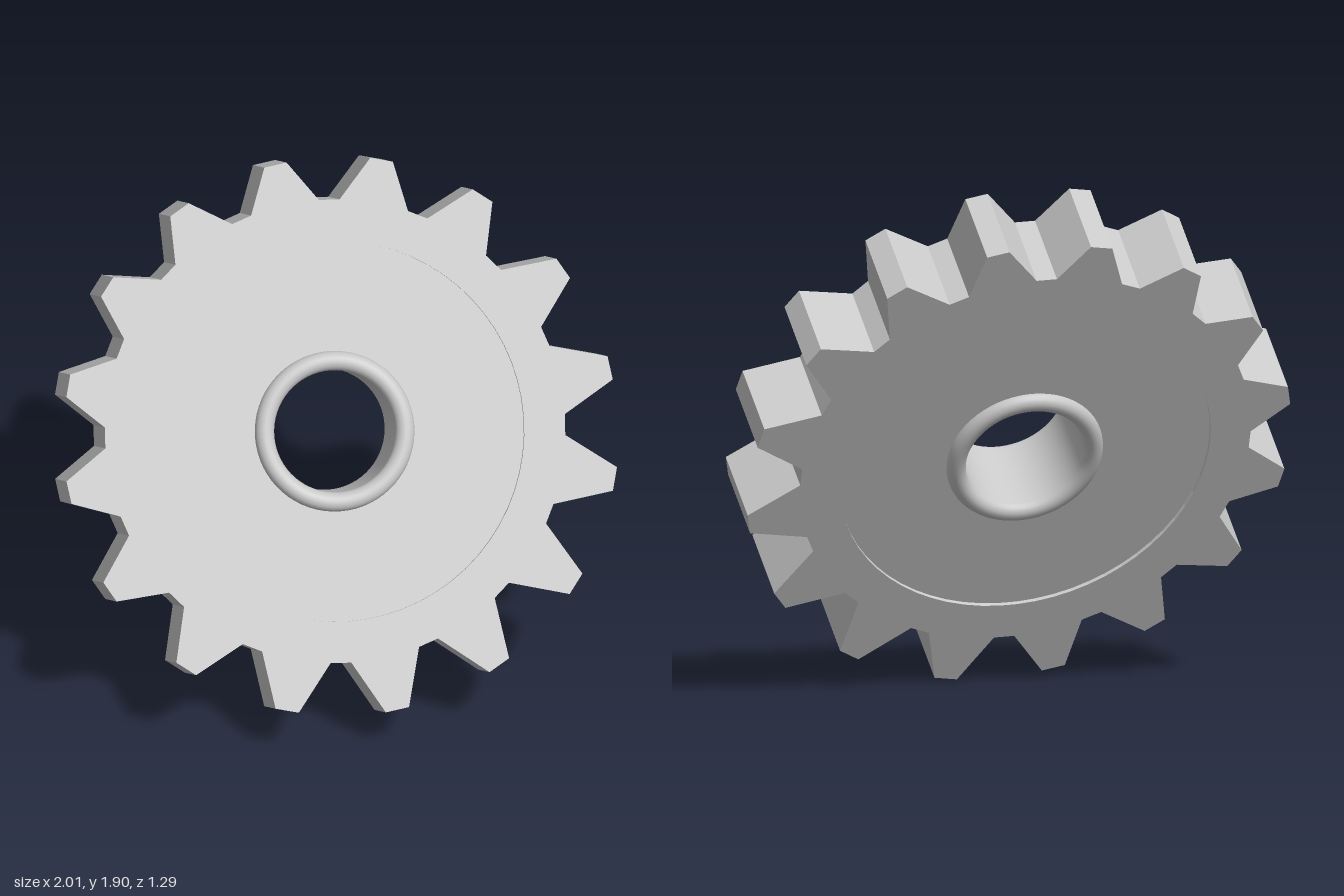
import * as THREE from 'three';

const TEETH = 16, PITCH = (Math.PI * 2) / TEETH, PHASE = 0.15;
const CX = -0.02, CY = 0.02; // bore centre within the gear plane

// Toothed outline with flat tips and narrow flat valleys
function toothOutline() {
  const shape = new THREE.Shape();
  const pts = [];
  const add = (r, a) => pts.push(new THREE.Vector2(CX + r * Math.cos(a), CY + r * Math.sin(a)));
  for (let i = 0; i < TEETH; i++) {
    const a = PHASE + i * PITCH;
    const tip = 1.009 + 0.02 * Math.cos(a) - 0.02 * Math.sin(a);
    add(0.837, a - PITCH / 2 + 0.045);
    add(tip, a - 0.042);
    add(tip, a + 0.042);
    add(0.837, a + PITCH / 2 - 0.045);
  }
  shape.setFromPoints(pts);
  return shape;
}

function hole(x, y, r) {
  return new THREE.Path().absarc(x, y, r, 0, Math.PI * 2, true);
}

function slab(shape, depth, curveSegments) {
  const g = new THREE.ExtrudeGeometry(shape, { depth, bevelEnabled: false, curveSegments });
  return g.translate(0, 0, -depth / 2);
}

export function createModel() {
  const steel = new THREE.MeshStandardMaterial({ color: 0xc8c8c8 });
  steel.name = 'light grey steel';

  const model = new THREE.Group();
  model.name = 'gear';
  const wheel = new THREE.Group();
  wheel.name = 'tiltedWheel';
  wheel.rotation.x = -Math.PI / 6;
  wheel.position.y = 0.953;
  model.add(wheel);

  const part = (name, geometry) => {
    const mesh = new THREE.Mesh(geometry, steel);
    mesh.name = name;
    wheel.add(mesh);
    return mesh;
  };

  // Toothed rim around the recessed web
  const rim = toothOutline();
  rim.holes.push(hole(CX, CY, 0.688));
  part('toothedRim', slab(rim, 0.333, 32));

  // Web disc, slightly recessed on both faces
  const web = new THREE.Shape().absarc(CX, CY, 0.688, 0, Math.PI * 2, false);
  web.holes.push(hole(CX, CY, 0.25));
  part('webDisc', slab(web, 0.303, 32));

  // Bore sleeve with rounded lips at both ends
  const profile = [];
  const R = 0.255, tube = 0.035, half = 0.155, N = 10;
  for (const side of [0, 1]) {
    for (let i = 0; i <= N; i++) {
      const a = Math.PI * (side + i / N);
      profile.push(new THREE.Vector2(R + tube * Math.cos(a), (side ? -half : half) + tube * Math.sin(a)));
    }
  }
  profile.push(profile[0].clone());
  const sleeve = part('boreSleeve', new THREE.LatheGeometry(profile, 64));
  sleeve.rotation.x = Math.PI / 2;
  sleeve.position.set(CX, CY, 0);

  return model;
}
